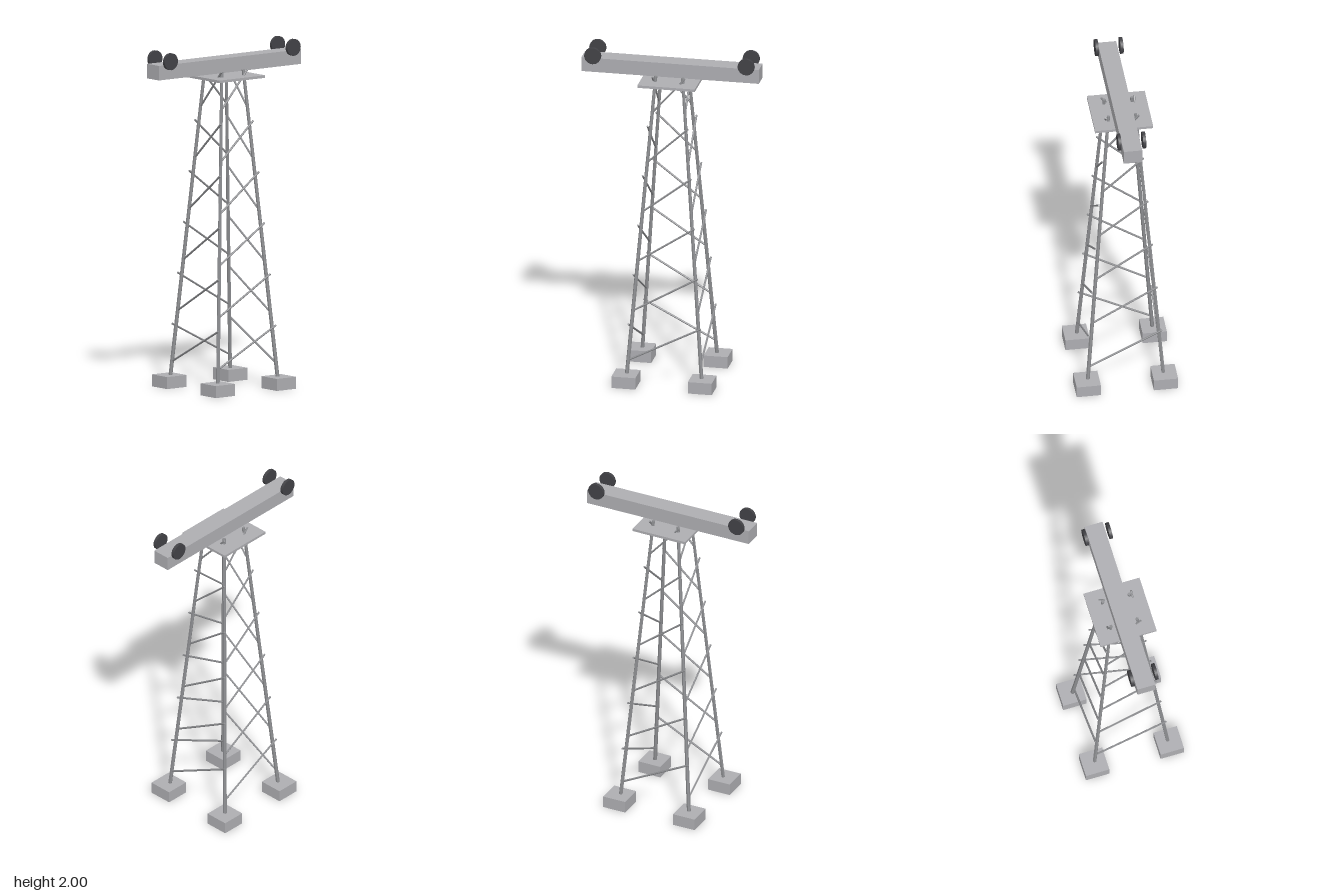
import * as THREE from 'three';

export function createModel() {
  const model = new THREE.Group();
  const mat = (name, color, flatShading = false) => {
    const m = new THREE.MeshStandardMaterial({ color, flatShading });
    m.name = name;
    return m;
  };
  const blockGrey = mat('block grey', 0xadadb1);
  const steel = mat('steel grey', 0x8e8f92, true);
  const dark = mat('dark grey', 0x424246);

  const add = (parent, name, geometry, material, x = 0, y = 0, z = 0) => {
    const mesh = new THREE.Mesh(geometry, material);
    mesh.name = name;
    mesh.position.set(x, y, z);
    parent.add(mesh);
    return mesh;
  };
  // Straight rod between two points
  const rod = (parent, name, a, b, rBottom, rTop = rBottom) => {
    const dir = b.clone().sub(a);
    const mesh = add(parent, name, new THREE.CylinderGeometry(rTop, rBottom, dir.length(), 6), steel);
    mesh.position.copy(a).add(b).multiplyScalar(0.5);
    mesh.quaternion.setFromUnitVectors(new THREE.Vector3(0, 1, 0), dir.normalize());
  };
  const V = (x, y, z) => new THREE.Vector3(x, y, z);

  const baseHalf = 0.225, topHalf = 0.079, legTop = 1.857;
  const halfAt = (y) => baseHalf + (topHalf - baseHalf) * y / legTop;

  // Four identical sides, each with one foot, one leg and six diagonal braces
  for (let side = 0; side < 4; side++) {
    const face = new THREE.Group();
    face.name = 'towerSide' + (side + 1);
    face.rotation.y = side * Math.PI / 2;
    add(face, 'footing', new THREE.BoxGeometry(0.141, 0.07, 0.141), blockGrey, baseHalf, 0.036, baseHalf);
    rod(face, 'leg', V(baseHalf, 0.002, baseHalf), V(topHalf, legTop, topHalf), 0.0115, 0.0095);
    for (let i = 0; i < 6; i++) {
      const y = 0.15 + i * 0.2975;
      const h = halfAt(y);
      rod(face, 'brace', V(-h, y, h), V(h, y + 0.22, h), 0.0058);
    }
    model.add(face);
  }

  // Platform and cross beam
  add(model, 'platform', new THREE.BoxGeometry(0.338, 0.015, 0.338), blockGrey, 0, 1.818, 0);
  add(model, 'crossBeam', new THREE.BoxGeometry(1.045, 0.085, 0.108), blockGrey, 0, 1.888, 0);

  // Pairs of discs at both beam ends
  const disc = new THREE.CylinderGeometry(0.049, 0.049, 0.018, 24).rotateX(Math.PI / 2);
  for (const x of [-0.452, 0.452])
    for (const z of [-0.072, 0.072]) add(model, 'disc', disc, dark, x, 1.951, z);

  return model;
}
